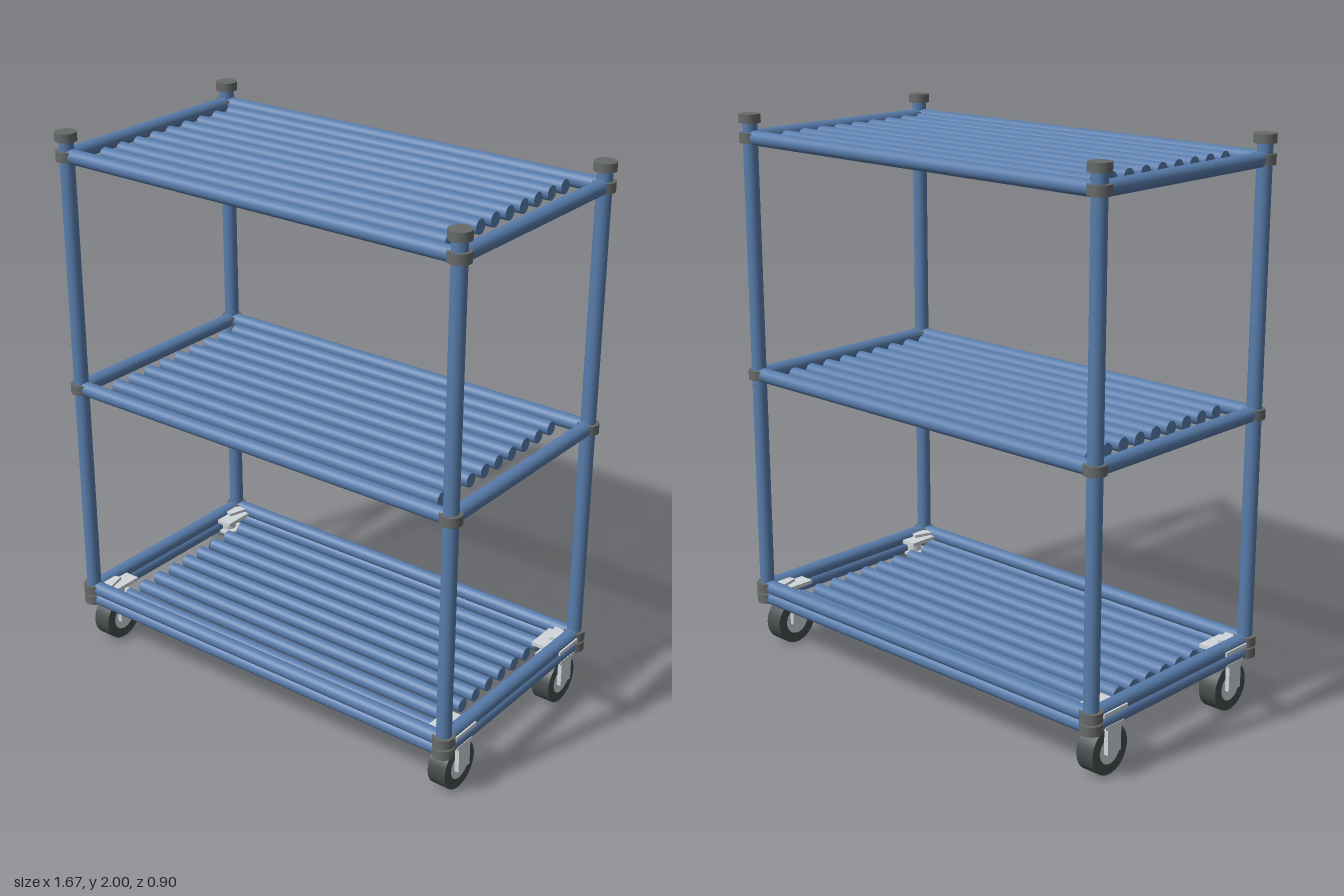
import * as THREE from 'three';

const PX = 0.798, PZ = 0.412, R = 0.0262; // post positions, tube radius
const mat = (color) => new THREE.MeshStandardMaterial({ color });
const blue = mat(0x587cab), dark = mat(0x666a68), rubber = mat(0x484d4d), steel = mat(0xd0d6da);

function add(parent, name, geometry, material, x, y, z) {
  const mesh = new THREE.Mesh(geometry, material);
  mesh.name = name;
  mesh.position.set(x, y, z);
  parent.add(mesh);
  return mesh;
}

// Capped tube along the chosen axis
function tube(radius, length, axis = 'y') {
  const g = new THREE.CylinderGeometry(radius, radius, length, 28);
  if (axis === 'x') g.rotateZ(Math.PI / 2);
  if (axis === 'z') g.rotateX(Math.PI / 2);
  return g;
}

// Rectangular rail frame with a collar at each post
function frame(parent, y) {
  const g = new THREE.Group();
  g.name = 'railFrame';
  for (const s of [-1, 1]) {
    add(g, 'longRail', tube(R, 2 * PX, 'x'), blue, 0, y, s * PZ);
    add(g, 'sideRail', tube(R, 2 * PZ, 'z'), blue, s * PX, y, 0);
    for (const t of [-1, 1]) add(g, 'collar', tube(0.0385, 0.035), dark, s * PX, y, t * PZ);
  }
  parent.add(g);
}

// Nine parallel slats between the side rails
function slats(parent, y) {
  const g = new THREE.Group();
  g.name = 'shelfSlats';
  for (let i = -4; i <= 4; i++) add(g, 'slat', tube(0.025, 1.41, 'x'), blue, 0, y, i * 0.0815);
  parent.add(g);
}

// Caster: mounting plate, stem, fork and wheel
function caster(parent, sx, sz) {
  const g = new THREE.Group();
  g.name = 'caster';
  g.position.set(sx * 0.772, 0, sz * 0.325);
  add(g, 'mountingPlate', new THREE.BoxGeometry(0.118, 0.014, 0.118), steel, -sx * 0.001, 0.232, 0);
  const tab = add(g, 'clampTab', new THREE.BoxGeometry(0.05, 0.012, 0.1), steel, -sx * 0.01, 0.244, sz * 0.047);
  tab.rotation.y = -sx * sz * 0.275;
  add(g, 'swivelStem', tube(0.032, 0.045), steel, 0, 0.205, 0);
  add(g, 'forkBridge', new THREE.BoxGeometry(0.106, 0.012, 0.09), steel, 0, 0.181, 0);
  for (const s of [-1, 1]) {
    add(g, 'forkLeg', new THREE.BoxGeometry(0.016, 0.104, 0.066), steel, s * 0.045, 0.135, 0);
  }
  // Square-edged tyre cross-section revolved around the axle
  const profile = [[0.05, -0.035], [0.086, -0.035], [0.087, -0.034],
    [0.087, 0.034], [0.086, 0.035], [0.05, 0.035]]
    .map(([r, h]) => new THREE.Vector2(r, h));
  const tyre = new THREE.LatheGeometry(profile, 40).rotateZ(Math.PI / 2);
  add(g, 'tyre', tyre, rubber, 0, 0.087, 0);
  add(g, 'wheelHub', tube(0.051, 0.066, 'x'), steel, 0, 0.087, 0);
  add(g, 'axle', tube(0.013, 0.106, 'x'), steel, 0, 0.087, 0);
  parent.add(g);
}

export function createModel() {
  const model = new THREE.Group();
  model.name = 'shelfCart';

  // Posts with end caps, and casters
  for (const sx of [-1, 1]) for (const sz of [-1, 1]) {
    add(model, 'post', tube(R, 1.81), blue, sx * PX, 1.08, sz * PZ);
    add(model, 'postCap', tube(0.0385, 0.031), dark, sx * PX, 1.9845, sz * PZ);
    caster(model, sx, sz);
  }

  // Rail frames: a stacked pair at the bottom, one at each upper shelf
  for (const y of [0.195, 0.236, 1.06, 1.917]) frame(model, y);
  for (const y of [0.195, 1.06, 1.917]) slats(model, y);
  return model;
}
